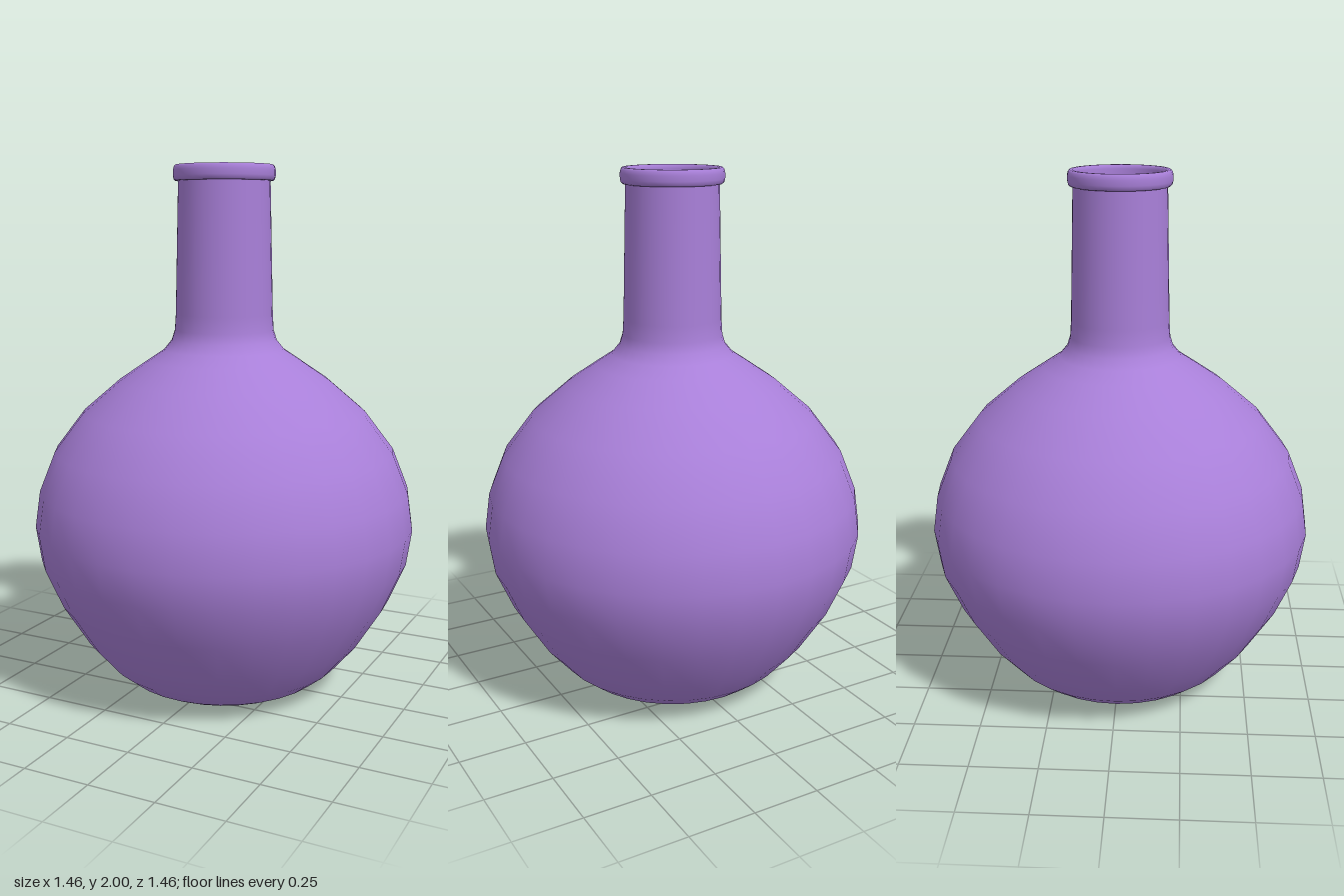
import * as THREE from 'three';

const SEGMENTS = 32;
const TURN = 0.024;

export function createModel() {
  const flask = new THREE.Group();
  flask.name = 'flask';
  const material = new THREE.MeshStandardMaterial({ color: 0xa87fd8 });

  const lathe = (name, profile) => {
    const points = profile.map(([r, y]) => new THREE.Vector2(r, y));
    const mesh = new THREE.Mesh(new THREE.LatheGeometry(points, SEGMENTS), material);
    mesh.name = name;
    mesh.rotation.y = TURN;
    flask.add(mesh);
  };

  // Round belly blending into the slightly tapered neck
  const belly = [
    [0.28, 0.005], [0.34, 0.018], [0.39, 0.043], [0.455, 0.095], [0.545, 0.2],
    [0.645, 0.36], [0.71, 0.51], [0.73, 0.645], [0.71, 0.785], [0.65, 0.935],
    [0.54, 1.08], [0.4, 1.2], [0.29, 1.275], [0.23, 1.315], [0.2, 1.352],
    [0.188, 1.39], [0.184, 1.45],
  ];
  lathe('bodyAndNeck', [[0, 0], [0.25, 0], ...belly, [0.172, 1.945]]);

  // Rounded lip around the mouth
  lathe('lip', [
    [0.168, 1.942], [0.182, 1.942], [0.188, 1.948], [0.191, 1.96], [0.191, 1.98],
    [0.188, 1.993], [0.182, 2], [0.172, 2], [0.166, 1.996], [0.163, 1.985], [0.163, 1.945],
  ]);

  // Inner wall, a thin offset of the outside running from the mouth to the floor
  const inner = belly.map(([r, y]) => [r - 0.012, Math.max(y, 0.015)]).reverse();
  lathe('innerWall', [[0.163, 1.945], ...inner, [0.2, 0.015], [0, 0.015]]);

  return flask;
}
